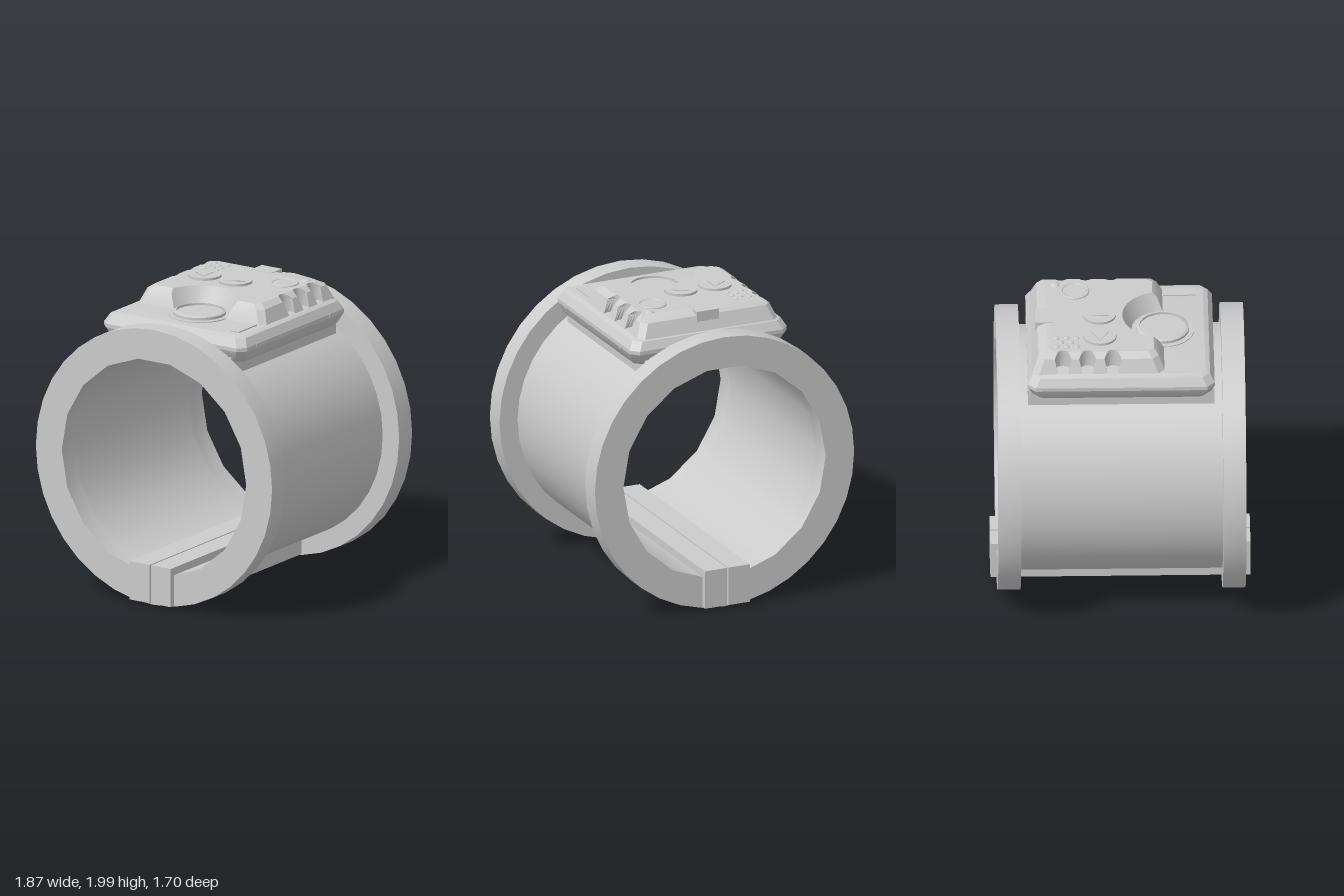
import * as THREE from 'three';
import { toCreasedNormals } from 'three/addons/utils/BufferGeometryUtils.js';

const CY = 0.945; // height of the tube axis
const FLANGE_R = 0.935, BODY_R = 0.805, BORE_R = 0.73;
const rad = THREE.MathUtils.degToRad;

const grey = new THREE.MeshStandardMaterial({ color: 0xcccccc });
const greyDouble = new THREE.MeshStandardMaterial({ color: 0xcccccc, side: THREE.DoubleSide });

function add(parent, name, geometry, x = 0, y = 0, z = 0, material = grey) {
  const mesh = new THREE.Mesh(geometry, material);
  mesh.name = name;
  mesh.position.set(x, y, z);
  parent.add(mesh);
  return mesh;
}

function box(parent, name, x0, x1, y0, y1, z0, z1) {
  return add(parent, name, new THREE.BoxGeometry(x1 - x0, y1 - y0, z1 - z0),
    (x0 + x1) / 2, (y0 + y1) / 2, (z0 + z1) / 2);
}

function disc(parent, name, r, x, z, y0, y1, sides = 32, rTop = r) {
  return add(parent, name, new THREE.CylinderGeometry(rTop, r, y1 - y0, sides), x, (y0 + y1) / 2, z);
}

function polygon(r, sides) {
  return Array.from({ length: sides }, (_, i) => {
    const a = (i / sides) * Math.PI * 2;
    return new THREE.Vector2(r * Math.cos(a), r * Math.sin(a));
  });
}

// Skins a stack of outlines (points x, -z, counter-clockwise) and caps both ends
function loft(layers) {
  const pos = [];
  const put = (l, i) => pos.push(l.pts[i].x, l.y, -l.pts[i].y);
  for (let k = 0; k + 1 < layers.length; k++) {
    const lo = layers[k], hi = layers[k + 1], n = lo.pts.length;
    for (let i = 0; i < n; i++) {
      const j = (i + 1) % n;
      put(lo, i); put(lo, j); put(hi, j);
      put(lo, i); put(hi, j); put(hi, i);
    }
  }
  const bottom = layers[0], top = layers[layers.length - 1];
  for (const [a, b, c] of THREE.ShapeUtils.triangulateShape(top.pts, [])) {
    put(top, a); put(top, b); put(top, c);
  }
  for (const [a, b, c] of THREE.ShapeUtils.triangulateShape(bottom.pts, [])) {
    put(bottom, a); put(bottom, c); put(bottom, b);
  }
  const geo = new THREE.BufferGeometry();
  geo.setAttribute('position', new THREE.Float32BufferAttribute(pos, 3));
  return toCreasedNormals(geo, 0.4);
}

// Rectangle with cut corners
function cutRect(hx, hz, c) {
  return [[hx - c, -hz], [hx, -hz + c], [hx, hz - c], [hx - c, hz],
    [-hx + c, hz], [-hx, hz - c], [-hx, -hz + c], [-hx + c, -hz]].map(p => new THREE.Vector2(...p));
}

// Housing outline: finger scallops on both sides, round notch in the front edge
function housingOutline(hx, back, front, notchR) {
  const c = 0.04, r = 0.055, gx = 0.46, steps = 12;
  const right = [new THREE.Vector2(hx - c, -front), new THREE.Vector2(hx, -front + c)];
  const a = Math.acos((hx - gx) / r);
  for (const v of [0.055, 0.22, 0.38]) {
    for (let i = 0; i <= steps; i++) {
      const t = -a - (i / steps) * (2 * Math.PI - 2 * a);
      right.push(new THREE.Vector2(gx + r * Math.cos(t), v + r * Math.sin(t)));
    }
  }
  right.push(new THREE.Vector2(hx, back - c), new THREE.Vector2(hx - c, back));
  const left = right.map(p => new THREE.Vector2(-p.x, p.y)).reverse();
  const notch = [];
  const t0 = Math.asin((0.28 - front) / notchR);
  for (let i = 0; i <= 20; i++) {
    const t = Math.PI - t0 - (i / 20) * (Math.PI - 2 * t0);
    notch.push(new THREE.Vector2(notchR * Math.cos(t), -0.28 + notchR * Math.sin(t)));
  }
  return [...right, ...left, ...notch];
}

function buildTube(root) {
  const tube = new THREE.Group();
  tube.name = 'tube';
  tube.position.y = CY;
  root.add(tube);

  // End flanges
  const ring = new THREE.Shape(polygon(FLANGE_R, 36));
  ring.holes.push(new THREE.Path(polygon(BORE_R, 18).reverse()));
  const flange = toCreasedNormals(
    new THREE.ExtrudeGeometry(ring, { depth: 0.15, bevelEnabled: false }), 0.4);
  add(tube, 'frontFlange', flange, 0, 0, 0.66);
  add(tube, 'backFlange', flange, 0, 0, -0.81);

  // Barrel and its lining, which is creased at four places
  add(tube, 'barrel', new THREE.CylinderGeometry(BODY_R, BODY_R, 1.32, 36, 1, true).rotateX(Math.PI / 2));
  for (const [from, to] of [[-40, 40], [40, 140], [140, 220], [220, 320]]) {
    const arc = new THREE.CylinderGeometry(BORE_R, BORE_R, 1.32, (to - from) / 20, 1, true,
      rad(from + 90), rad(to - from)).rotateX(Math.PI / 2);
    add(tube, 'lining', arc, 0, 0, 0, greyDouble);
  }

  // Closing bars along the bottom
  box(root, 'rightClosingBar', -0.165, -0.008, 0.03, 0.29, -0.85, 0.85);
  box(root, 'leftClosingBar', 0.003, 0.16, 0.03, 0.29, -0.85, 0.85);
}

function buildControlBox(root) {
  const unit = new THREE.Group();
  unit.name = 'controlBox';
  root.add(unit);

  // Saddle that joins the box to the barrel
  const saddle = new THREE.Shape();
  saddle.absarc(0, 0, 0.79, rad(53.5), rad(126.5), false);
  saddle.lineTo(-0.47, 0.77);
  saddle.lineTo(0.47, 0.77);
  add(unit, 'saddle', new THREE.ExtrudeGeometry(saddle, { depth: 1.22, bevelEnabled: false }), 0, CY, -0.61);

  // Base tray
  const tray = [[1.68, 0.05], [1.70, 0.03], [1.765, 0], [1.79, 0], [1.845, 0.03], [1.86, 0.06]]
    .map(([y, inset]) => ({ y, pts: cutRect(0.565 - inset, 0.61 - inset, 0.05) }));
  add(unit, 'baseTray', loft(tray));

  // Raised housing
  const housing = [[1.855, 0.505, 0.58, 0.285, 0.2], [1.95, 0.465, 0.54, 0.245, 0.25], [1.98, 0.42, 0.48, 0.215, 0.265]]
    .map(([y, ...size]) => ({ y, pts: housingOutline(...size) }));
  add(unit, 'housing', loft(housing));

  // Large thumb button in the notch
  disc(unit, 'thumbButtonSeat', 0.205, 0, 0.28, 1.85, 1.866);
  const rim = [[0.172, 0], [0.172, 0.02], [0.155, 0.028], [0.155, 0.014], [0, 0.014]]
    .map(p => new THREE.Vector2(...p));
  add(unit, 'thumbButton', toCreasedNormals(new THREE.LatheGeometry(rim, 20), 0.5), 0, 1.864, 0.28, greyDouble);

  // Two arrow buttons
  for (const [x, dir] of [[-0.245, -1], [0, 1]]) {
    disc(unit, 'arrowButton', 0.11, x, -0.135, 1.975, 1.996);
    const arrow = new THREE.CylinderGeometry(0.068, 0.068, 0.004, 3).rotateY(dir * Math.PI / 2);
    add(unit, 'arrow', arrow, x + dir * 0.005, 1.998, -0.135);
  }

  // Round button with ring, and lamp
  disc(unit, 'roundButton', 0.078, 0.28, -0.29, 1.97, 1.985);
  add(unit, 'roundButtonRing', new THREE.TorusGeometry(0.086, 0.009, 8, 32).rotateX(Math.PI / 2), 0.28, 1.981, -0.29);
  add(unit, 'lamp', new THREE.SphereGeometry(0.034, 16, 10).scale(1, 0.5, 1), 0.36, 1.975, -0.42);

  // Speaker dots
  const dots = [];
  for (const z of [-0.42, -0.355, -0.29]) dots.push([-0.36, z], [-0.262, z]);
  dots.push([-0.311, -0.39], [-0.311, -0.325]);
  for (const [x, z] of dots) {
    add(unit, 'speakerDot', new THREE.SphereGeometry(0.02, 12, 8).scale(1, 0.4, 1), x, 1.98, z);
  }

  // Rear latch, small indicator bar and side screws
  box(unit, 'rearLatch', -0.08, 0.08, 1.9, 1.983, -0.555, -0.435);
  box(unit, 'indicatorBar', 0.39, 0.46, 1.85, 1.868, 0.29, 0.5);
  for (const z of [0.43, -0.41]) {
    add(unit, 'sideScrew', new THREE.CylinderGeometry(0.02, 0.02, 0.02, 16).rotateZ(Math.PI / 2), 0.557, 1.775, z);
  }
}

export function createModel() {
  const root = new THREE.Group();
  root.name = 'tubeWithControlBox';
  buildTube(root);
  buildControlBox(root);
  return root;
}
